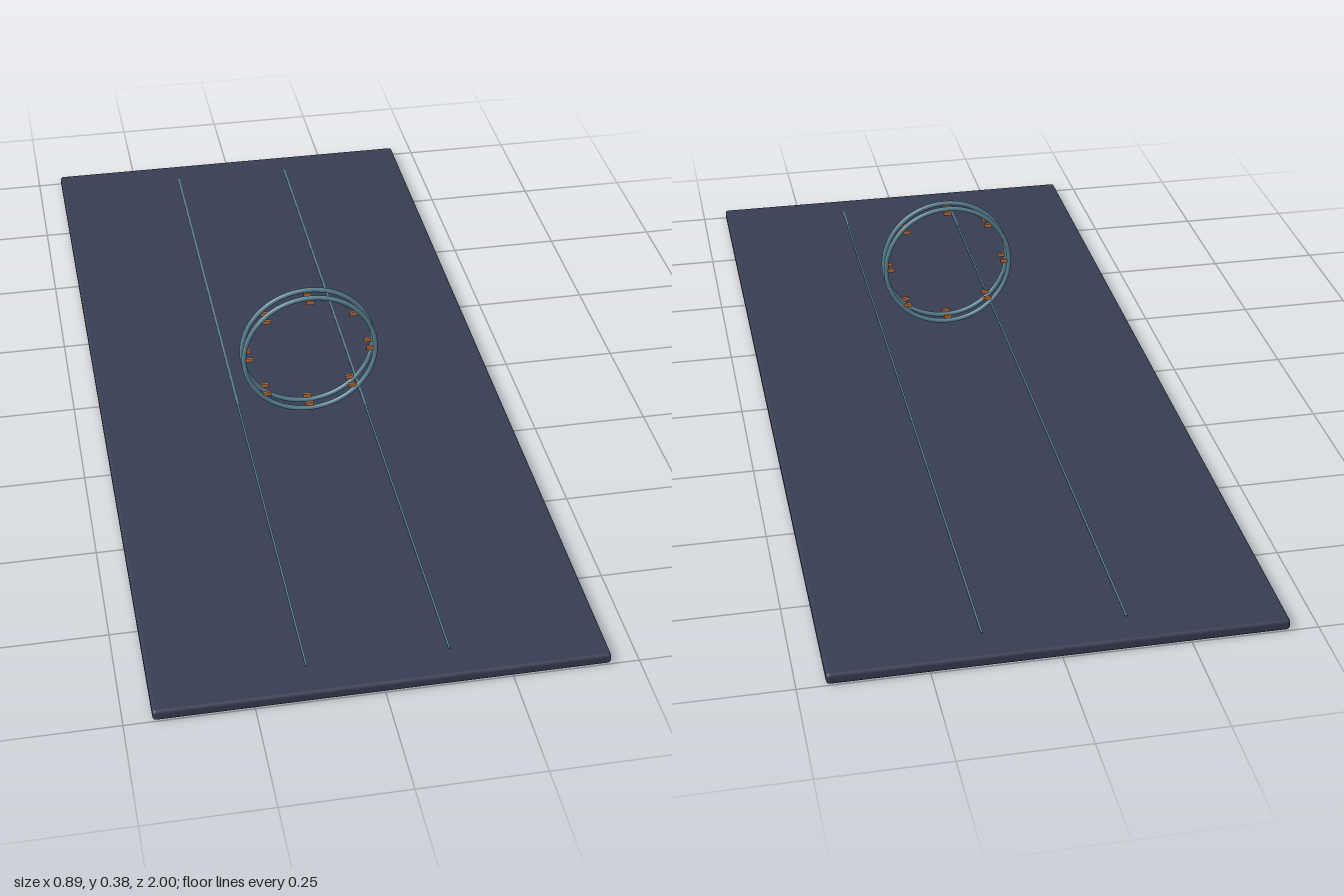
import * as THREE from 'three';
import { RoundedBoxGeometry } from 'three/addons/geometries/RoundedBoxGeometry.js';

export function createModel() {
  const model = new THREE.Group();
  const navy = new THREE.MeshStandardMaterial({ name: 'navy', color: 0x373d52 });
  const teal = new THREE.MeshStandardMaterial({ name: 'teal', color: 0x5b8394 });
  const copper = new THREE.MeshStandardMaterial({ name: 'copper', color: 0xc0733f });

  const add = (parent, name, geometry, material, x, y, z) => {
    const mesh = new THREE.Mesh(geometry, material);
    mesh.name = name;
    mesh.position.set(x, y, z);
    parent.add(mesh);
    return mesh;
  };

  // Long flat base with softened edges
  add(model, 'base', new RoundedBoxGeometry(0.888, 0.023, 2, 3, 0.007), navy, 0, 0.0115, 0);

  // Two thin guide lines along the base
  const lineGeometry = new THREE.BoxGeometry(0.004, 0.003, 1.856);
  for (const side of [-1, 1]) {
    add(model, side > 0 ? 'leftGuideLine' : 'rightGuideLine', lineGeometry, teal, side * 0.14, 0.0235, 0);
  }

  // Pair of floating rings, each with eight small markers inside
  const ringGeometry = new THREE.TorusGeometry(0.143, 0.0052, 12, 72);
  const markerGeometry = new THREE.BoxGeometry(0.018, 0.008, 0.006);
  [['frontRing', 0.203], ['backRing', 0.172]].forEach(([name, z]) => {
    const assembly = new THREE.Group();
    assembly.name = name;
    assembly.position.set(0, 0.232, z);
    add(assembly, 'hoop', ringGeometry, teal, 0, 0, 0);
    for (let i = 0; i < 8; i++) {
      const a = (i * Math.PI) / 4;
      add(assembly, 'marker', markerGeometry, copper, 0.132 * Math.cos(a), 0.132 * Math.sin(a), 0);
    }
    model.add(assembly);
  });

  return model;
}
